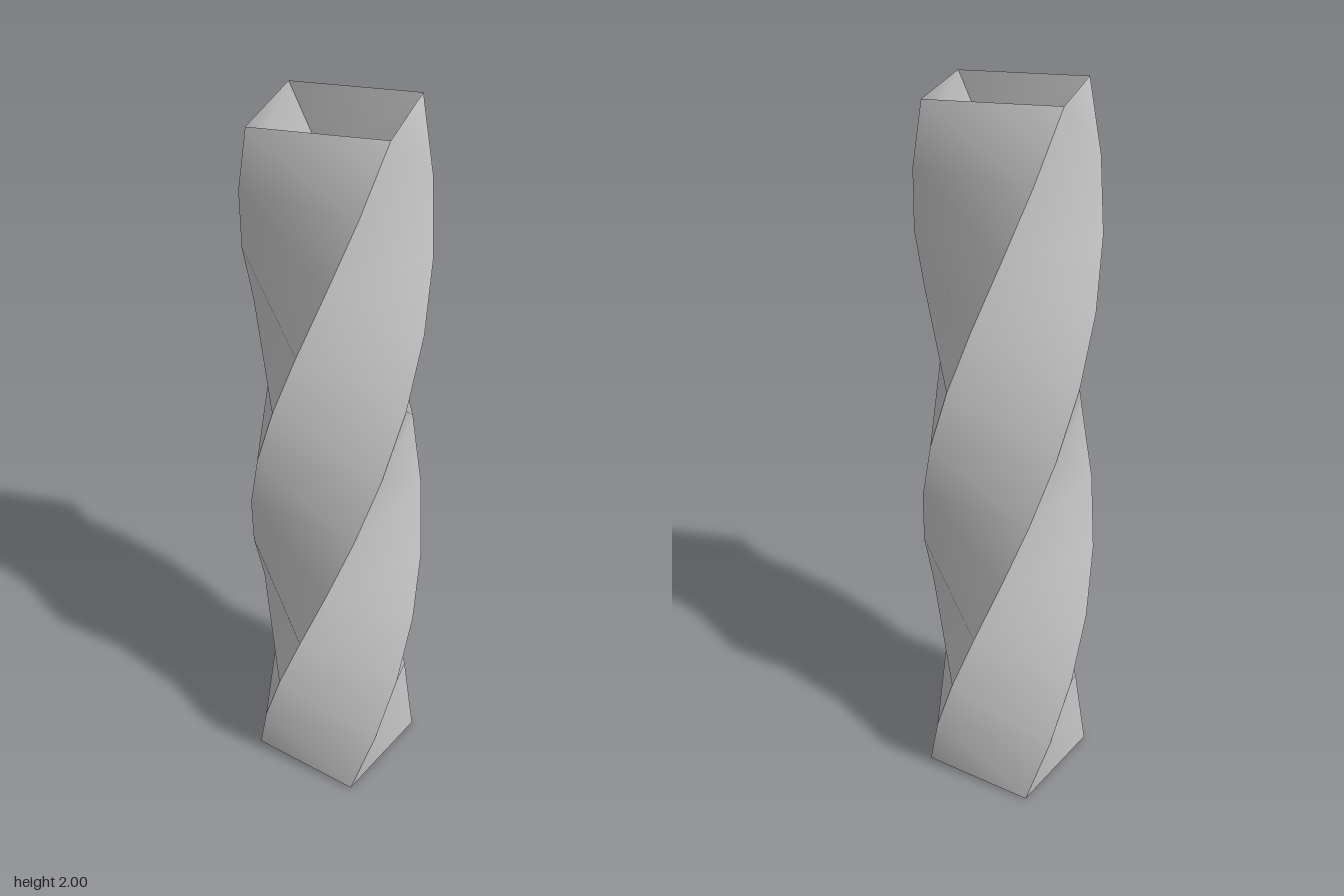
import * as THREE from 'three';

const HEIGHT = 2;
const RADIUS = 0.24; // centre to corner
const TWIST = THREE.MathUtils.degToRad(200);
const STEPS = 11;

// One wall of the square tube, turning about the y axis as it rises
function twistedWall(side) {
  const positions = [];
  const index = [];
  for (let i = 0; i <= STEPS; i++) {
    const t = i / STEPS;
    const turn = Math.PI / 4 - TWIST * (1 - t);
    for (let k = 0; k < 2; k++) {
      const angle = turn + (side + k) * Math.PI / 2;
      positions.push(RADIUS * Math.sin(angle), HEIGHT * t, RADIUS * Math.cos(angle));
    }
    if (i < STEPS) {
      const a = i * 2;
      index.push(a, a + 1, a + 2, a + 1, a + 3, a + 2);
    }
  }
  const geometry = new THREE.BufferGeometry();
  geometry.setAttribute('position', new THREE.Float32BufferAttribute(positions, 3));
  geometry.setIndex(index);
  geometry.computeVertexNormals(); // smooth along the wall, sharp at the corners
  return geometry;
}

export function createModel() {
  const group = new THREE.Group();
  group.name = 'twistedSquareTube';
  const material = new THREE.MeshStandardMaterial({ color: 0xcccccc, side: THREE.DoubleSide });

  // Four thin walls, open at both ends
  ['rightWall', 'frontWall', 'leftWall', 'backWall'].forEach((name, side) => {
    const wall = new THREE.Mesh(twistedWall(side), material);
    wall.name = name;
    group.add(wall);
  });
  return group;
}
